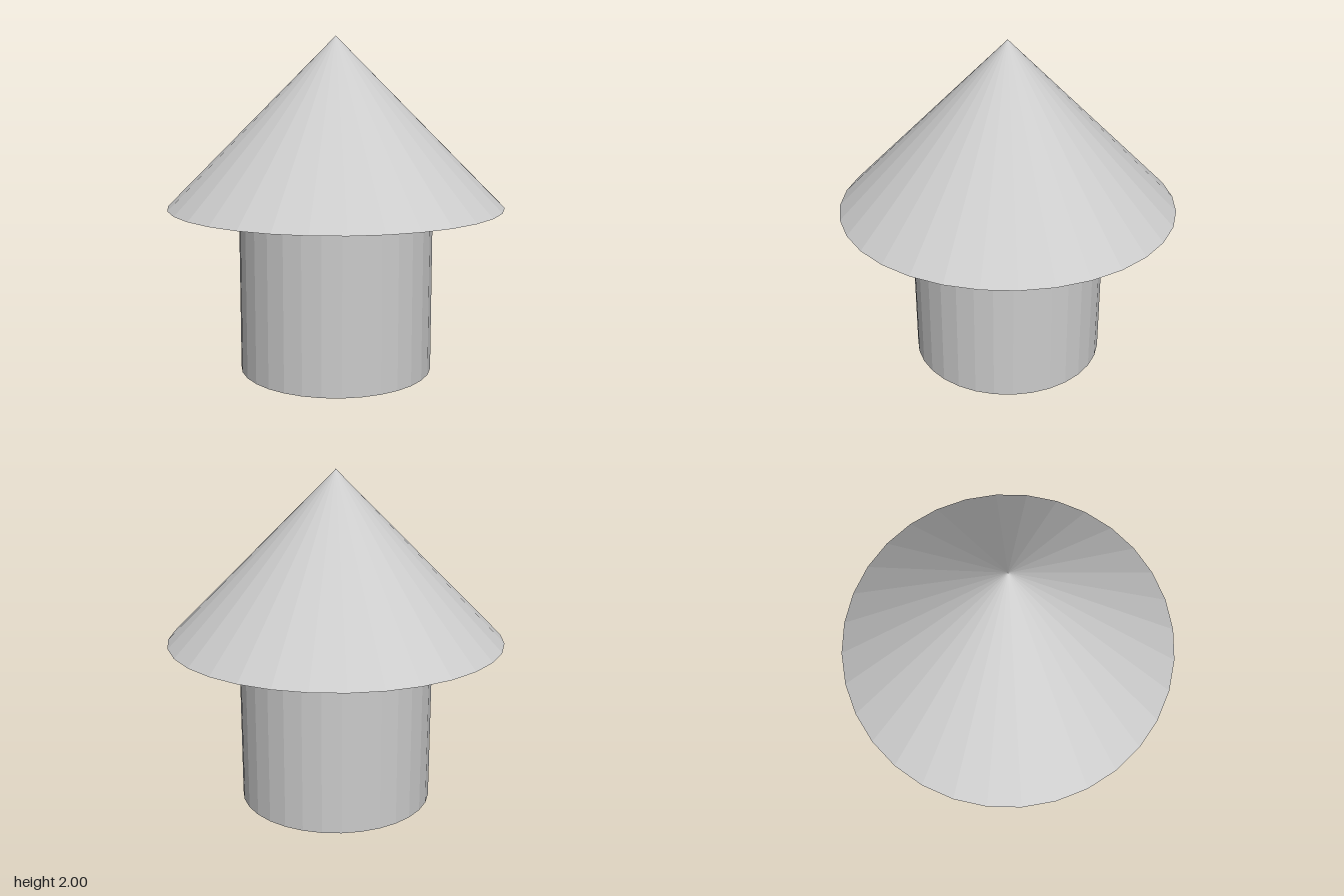
import * as THREE from 'three';

const SIDES = 32;

export function createModel() {
  const group = new THREE.Group();
  const material = new THREE.MeshStandardMaterial({ color: 0xcccccc, flatShading: true });

  const add = (name, geometry, y) => {
    const mesh = new THREE.Mesh(geometry, material);
    mesh.name = name;
    mesh.position.y = y;
    group.add(mesh);
  };

  // Round base, closed at the bottom
  add('base', new THREE.CylinderGeometry(0.58, 0.58, 1, SIDES), 0.5);

  // Wide conical roof with a flat underside
  add('roof', new THREE.ConeGeometry(1, 1, SIDES), 1.5);

  return group;
}
